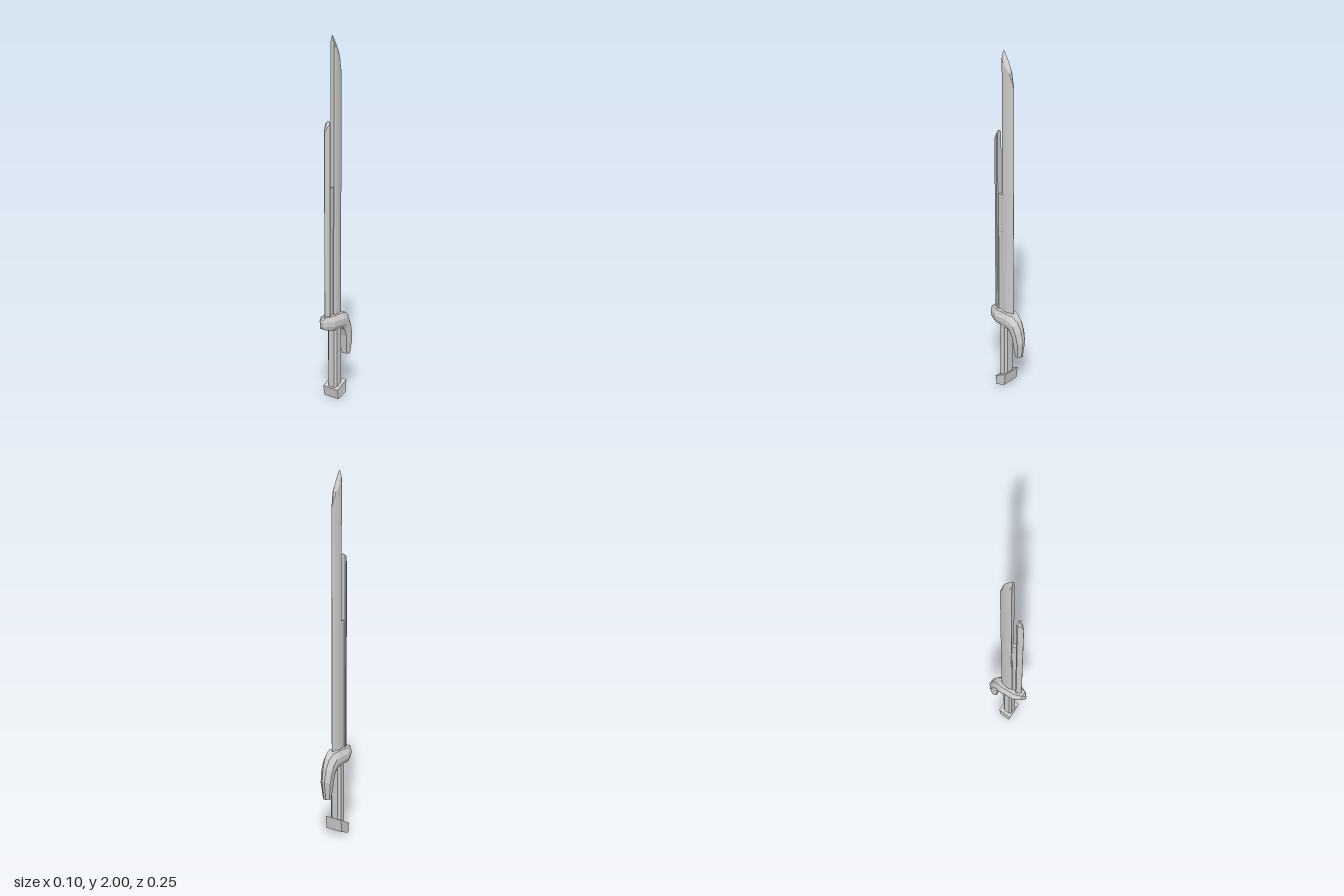
import * as THREE from 'three';

const material = new THREE.MeshStandardMaterial({ color: 0xcccccc, flatShading: true });

// Skins a list of equal-length rings of [x, y, z] and caps both ends, facing outward.
function loft(name, rings) {
  const tris = [];
  const n = rings[0].length;
  for (let i = 0; i < rings.length - 1; i++) {
    for (let j = 0; j < n; j++) {
      const k = (j + 1) % n;
      const a = rings[i][j], b = rings[i][k], c = rings[i + 1][k], d = rings[i + 1][j];
      tris.push([a, b, c], [a, c, d]);
    }
  }
  const cap = (ring, flip) => {
    const mid = [0, 1, 2].map((t) => ring.reduce((s, p) => s + p[t], 0) / n);
    for (let j = 0; j < n; j++) {
      const a = ring[j], b = ring[(j + 1) % n];
      tris.push(flip ? [mid, b, a] : [mid, a, b]);
    }
  };
  cap(rings[0], true);
  cap(rings[rings.length - 1], false);
  // A negative enclosed volume means the faces point inward.
  let volume = 0;
  const [a, b, c] = [0, 1, 2].map(() => new THREE.Vector3());
  for (const t of tris) {
    volume += a.fromArray(t[0]).dot(b.fromArray(t[1]).cross(c.fromArray(t[2])));
  }
  if (volume < 0) tris.forEach((t) => t.reverse());
  const geometry = new THREE.BufferGeometry();
  geometry.setAttribute('position', new THREE.Float32BufferAttribute(tris.flat(2), 3));
  geometry.computeVertexNormals();
  const mesh = new THREE.Mesh(geometry, material);
  mesh.name = name;
  return mesh;
}

// Blade sliced along z; each slice is [z, half width, top y], with a ridged top.
function blade(name, base, ridge, slices) {
  return loft(name, slices.map(([z, w, top]) => [
    [-w, base, z], [w, base, z], [w, top - ridge * w, z], [0, top, z], [-w, top - ridge * w, z],
  ]));
}

function box(name, w, h, d, y, z) {
  const mesh = new THREE.Mesh(new THREE.BoxGeometry(w, h, d), material);
  mesh.name = name;
  mesh.position.set(0, y, z);
  return mesh;
}

export function createModel() {
  const model = new THREE.Group();
  model.name = 'sword';

  // Long blade with its cutting edge to the rear
  model.add(blade('mainBlade', 0.46, 3, [
    [-0.042, 0.0005, 1.81], [-0.02, 0.01, 1.915], [0, 0.015, 1.957],
    [0.02, 0.016, 1.988], [0.03, 0.013, 2],
  ]));

  // Shorter blade in front, with the spine that joins the two
  model.add(blade('frontBlade', 0.46, 0.8, [
    [0.06, 0.014, 1.56], [0.067, 0.016, 1.558], [0.08, 0.009, 1.535], [0.094, 0.001, 1.505],
  ]));
  model.add(box('bladeSpine', 0.016, 0.74, 0.036, 0.83, 0.045));
  model.add(box('spineRib', 0.024, 0.52, 0.01, 0.72, 0.031));

  // Guard: outer z,y, inner z,y, half width, outer flat ratio
  const guard = [
    [0.119, 0.47, 0.125, 0.432, 0.007, 0.7],
    [0.108, 0.487, 0.107, 0.418, 0.024, 0.65],
    [0.06, 0.487, 0.06, 0.408, 0.045, 0.68],
    [-0.025, 0.487, -0.012, 0.402, 0.045, 0.66],
    [-0.055, 0.481, -0.03, 0.394, 0.041, 0.55],
    [-0.085, 0.455, -0.045, 0.375, 0.038, 0.4],
    [-0.108, 0.405, -0.057, 0.34, 0.036, 0.3],
    [-0.122, 0.335, -0.063, 0.29, 0.032, 0.25],
    [-0.107, 0.228, -0.069, 0.228, 0.022, 0.3],
  ];
  model.add(loft('guard', guard.map(([oz, oy, iz, iy, w, flat]) => {
    const at = (x, t) => [x, oy + (iy - oy) * t, oz + (iz - oz) * t];
    return [
      at(-w * flat, 0), at(w * flat, 0), at(w, 0.35), at(w, 0.7),
      at(w * 0.75, 1), at(-w * 0.75, 1), at(-w, 0.7), at(-w, 0.35),
    ];
  })));

  // Eight-sided grip
  const grip = [
    [0.02, -0.016], [0.033, -0.004], [0.033, 0.028], [0.02, 0.04],
    [-0.02, 0.04], [-0.033, 0.028], [-0.033, -0.004], [-0.02, -0.016],
  ];
  model.add(loft('grip', [0.05, 0.43].map((y) => grip.map(([x, z]) => [x, y, z]))));

  // Slanted pommel block
  const pommel = [[0.048, 0.056], [-0.028, 0.097], [-0.02, 0.024], [0.04, 0]];
  model.add(loft('pommel', [-0.052, 0.052].map((x) => pommel.map(([z, y]) => [x, y, z]))));

  return model;
}
